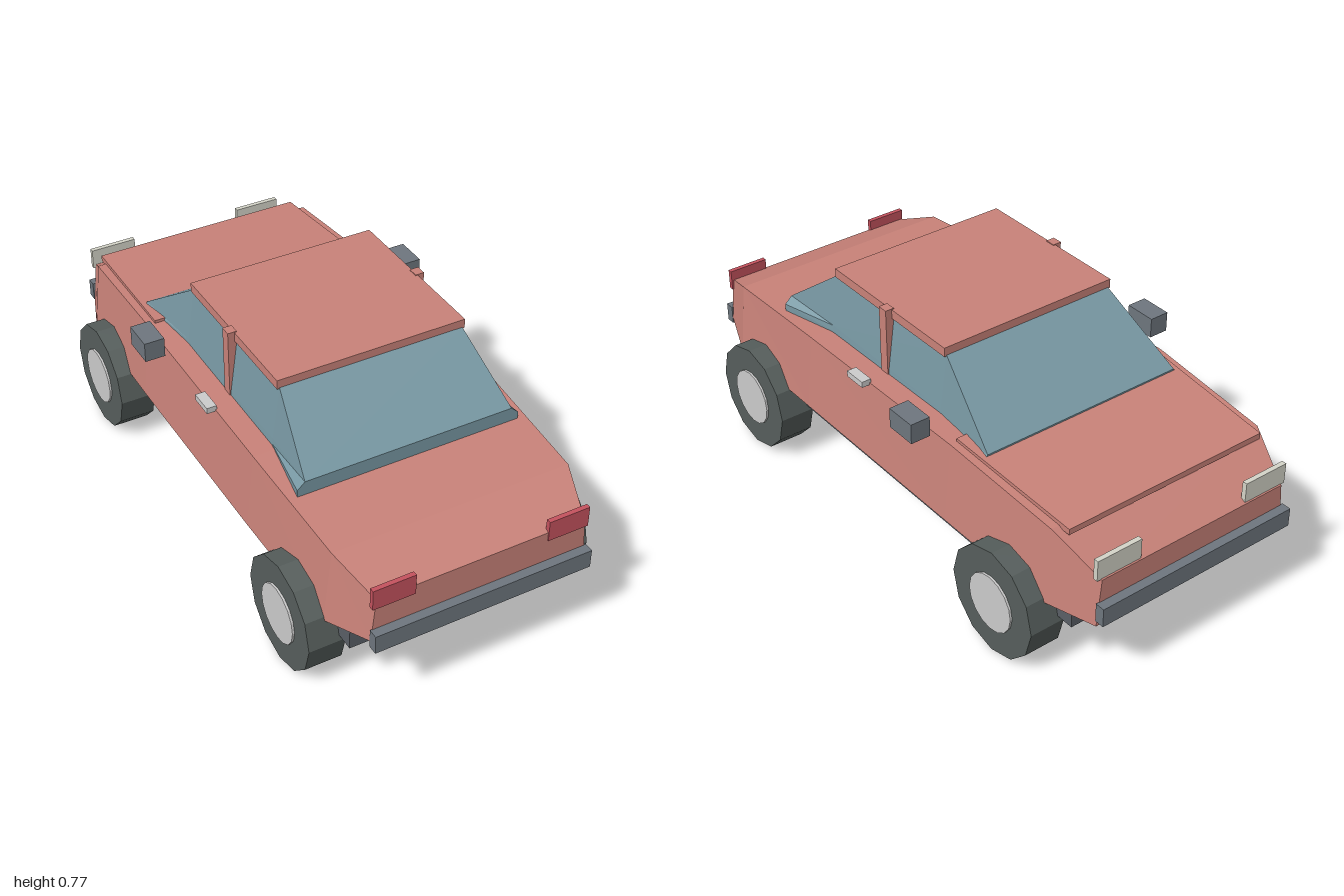
import * as THREE from 'three';

const mat = (color) => new THREE.MeshStandardMaterial({ color, flatShading: true });
const paint = mat(0xc98279);
const glass = mat(0x7898a3);
const rubber = mat(0x565e5c);
const trim = mat(0x6e767e);
const under = mat(0x5a5f66);
const chrome = mat(0xcccccc);
const headlight = mat(0xd4d4c8);
const tailLight = mat(0xc4525e);

// Skin a list of closed rings, each counterclockwise about the loft direction
function loft(rings) {
  const pos = [];
  const tri = (a, b, c) => pos.push(...a, ...b, ...c);
  const n = rings[0].length;
  for (let i = 0; i < rings.length - 1; i++) {
    const p = rings[i], q = rings[i + 1];
    for (let j = 0; j < n; j++) {
      const k = (j + 1) % n;
      tri(p[j], p[k], q[k]);
      tri(p[j], q[k], q[j]);
    }
  }
  const first = rings[0], last = rings[rings.length - 1];
  for (let j = 1; j < n - 1; j++) {
    tri(first[0], first[j + 1], first[j]);
    tri(last[0], last[j], last[j + 1]);
  }
  const g = new THREE.BufferGeometry();
  g.setAttribute('position', new THREE.Float32BufferAttribute(pos, 3));
  g.computeVertexNormals();
  return g;
}

export function createModel() {
  const car = new THREE.Group();
  car.name = 'car';

  const add = (name, geometry, material) => {
    const m = new THREE.Mesh(geometry, material);
    m.name = name;
    car.add(m);
    return m;
  };
  // Box given by its extents on each axis
  const box = (name, material, x0, x1, y0, y1, z0, z1) => {
    const m = add(name, new THREE.BoxGeometry(Math.abs(x1 - x0), y1 - y0, Math.abs(z1 - z0)), material);
    m.position.set((x0 + x1) / 2, (y0 + y1) / 2, (z0 + z1) / 2);
    return m;
  };

  // Body shell: z, bottom half width, bottom y, top half width, top y
  const sections = [
    [-0.97, 0.36, 0.25, 0.345, 0.41],
    [-0.81, 0.42, 0.26, 0.395, 0.51],
    [-0.37, 0.435, 0.28, 0.41, 0.545],
    [0.37, 0.435, 0.28, 0.41, 0.535],
    [0.81, 0.42, 0.26, 0.395, 0.505],
    [0.97, 0.36, 0.29, 0.345, 0.44],
  ];
  add('body', loft(sections.map(([z, bx, by, tx, ty]) =>
    [[-bx, by, z], [bx, by, z], [tx, ty, z], [-tx, ty, z]])), paint);

  // Underbody
  box('underbody', under, -0.38, 0.38, 0.2, 0.285, -0.89, 0.89);

  // Raised panel over the engine
  const x = 0.385, z0 = -0.85, z1 = -0.365;
  add('hood', loft([
    [[-x + 0.02, 0.5, z0], [x - 0.02, 0.5, z0], [x - 0.02, 0.52, z0], [-x + 0.02, 0.52, z0]],
    [[-x, 0.53, z1], [x, 0.53, z1], [x, 0.555, z1], [-x, 0.555, z1]],
  ]), paint);

  // Glass cabin: each level is mirrored from its left half, rear to front
  const level = (half) => [...half, ...half.slice().reverse().map(([px, py, pz]) => [-px, py, pz])];
  add('cabinGlass', loft([
    level([[0.375, 0.51, 0.575], [0.337, 0.51, 0.35], [0.337, 0.51, -0.22], [0.365, 0.51, -0.48]]),
    level([[0.375, 0.545, 0.575], [0.337, 0.54, 0.35], [0.337, 0.54, -0.22], [0.365, 0.545, -0.48]]),
    level([[0.35, 0.568, 0.575], [0.335, 0.56, 0.35], [0.335, 0.555, -0.22], [0.36, 0.552, -0.48]]),
    level([[0.31, 0.737, 0.35], [0.31, 0.737, 0.35], [0.31, 0.737, -0.22], [0.31, 0.737, -0.22]]),
  ]), glass);

  box('roof', paint, -0.318, 0.318, 0.733, 0.764, -0.22, 0.35);

  // Parts at both sides
  for (const s of [-1, 1]) {
    box('pillar', paint, s * 0.31, s * 0.34, 0.53, 0.767, 0.045, 0.08);
    box('mirror', trim, s * 0.43, s * 0.497, 0.545, 0.612, -0.297, -0.19);
    box('doorHandle', chrome, s * 0.405, s * 0.438, 0.532, 0.552, 0.042, 0.122);
    box('headlight', headlight, s * 0.2, s * 0.36, 0.41, 0.48, -0.966, -0.95);
    box('tailLight', tailLight, s * 0.22, s * 0.358, 0.41, 0.48, 0.957, 0.973);

    for (const z of [-0.653, 0.653]) {
      const tyre = add('tyre', new THREE.CylinderGeometry(0.182, 0.182, 0.12, 12), rubber);
      tyre.rotation.z = Math.PI / 2;
      tyre.position.set(s * 0.42, 0.182, z);
      const hub = add('hubcap', new THREE.CylinderGeometry(0.096, 0.096, 0.02, 16), chrome);
      hub.rotation.z = Math.PI / 2;
      hub.position.set(s * 0.477, 0.182, z);
    }
  }

  // Bumper and number plate at each end
  for (const e of [-1, 1]) {
    box('bumper', trim, -0.362, 0.362, 0.27, 0.333, e * 0.968, e);
    box('plate', chrome, -0.1, 0.1, 0.254, 0.31, e * 0.955, e * 0.978);
  }

  return car;
}
